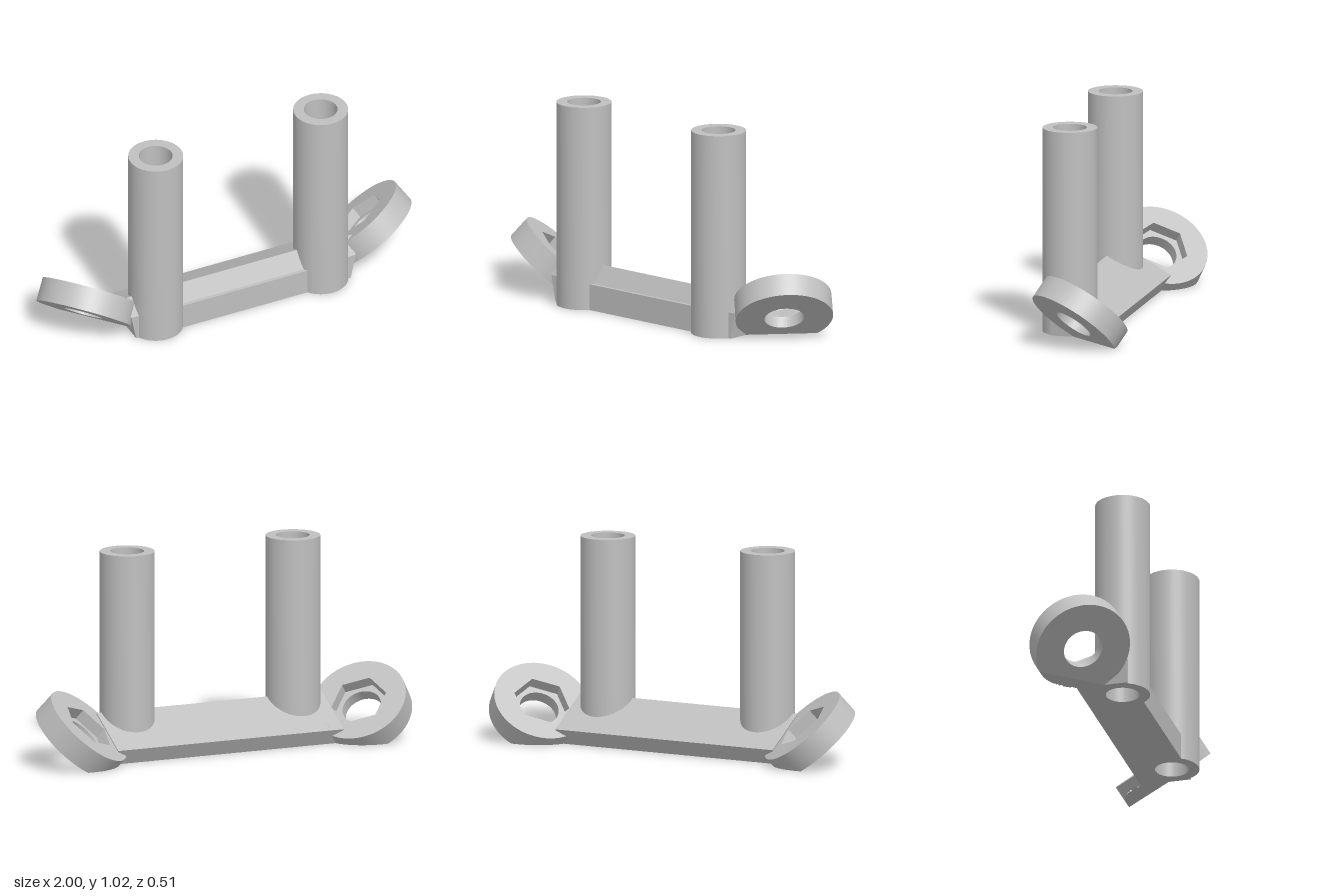
import * as THREE from 'three';
import { toCreasedNormals, mergeGeometries } from 'three/addons/utils/BufferGeometryUtils.js';

const TILT = Math.PI / 6;

function circle(r, PathType = THREE.Path) {
  const p = new PathType();
  p.absarc(0, 0, r, 0, Math.PI * 2, false);
  return p;
}

// Upright disc or tube with one hole, from y to y + height
function drilled(radius, hole, height, y = 0) {
  const shape = circle(radius, THREE.Shape);
  shape.holes.push(hole);
  const geo = new THREE.ExtrudeGeometry(shape, { depth: height, bevelEnabled: false, curveSegments: 36 });
  return geo.rotateX(-Math.PI / 2).translate(0, y, 0);
}

// Remove everything under y = 0 and close the convex cut
function cutAtGround(geo) {
  const pos = geo.attributes.position;
  const out = [], rim = [];
  for (let i = 0; i < pos.count; i += 3) {
    const tri = [0, 1, 2].map(k => new THREE.Vector3().fromBufferAttribute(pos, i + k));
    const poly = [];
    tri.forEach((a, k) => {
      const b = tri[(k + 1) % 3];
      if (a.y >= 0) poly.push(a);
      if ((a.y >= 0) !== (b.y >= 0)) {
        const p = a.clone().lerp(b, a.y / (a.y - b.y));
        p.y = 0;
        poly.push(p);
        rim.push(p);
      }
    });
    for (let k = 1; k + 1 < poly.length; k++) out.push(poly[0], poly[k], poly[k + 1]);
  }
  if (rim.length) {
    const c = rim.reduce((s, p) => s.add(p), new THREE.Vector3()).divideScalar(rim.length);
    const angle = p => Math.atan2(p.z - c.z, p.x - c.x);
    rim.sort((a, b) => angle(a) - angle(b));
    rim.forEach((p, k) => out.push(c, p, rim[(k + 1) % rim.length]));
  }
  return new THREE.BufferGeometry().setFromPoints(out);
}

// Mirror across x and restore the corner order
function mirrored(geo) {
  const m = geo.clone().scale(-1, 1, 1);
  for (const attr of Object.values(m.attributes)) {
    const a = attr.array, n = attr.itemSize;
    for (let i = 0; i < a.length; i += 3 * n) {
      for (let k = 0; k < n; k++) [a[i + n + k], a[i + 2 * n + k]] = [a[i + 2 * n + k], a[i + n + k]];
    }
  }
  return m;
}

// Extrude a (z, y) profile along x from x0 to x1
function barSection(profile, x0, x1) {
  const shape = new THREE.Shape(profile.map(([z, y]) => new THREE.Vector2(-z, y)));
  return new THREE.ExtrudeGeometry(shape, { depth: x1 - x0, bevelEnabled: false })
    .rotateY(Math.PI / 2).translate(x0, 0, 0);
}

export function createModel() {
  const model = new THREE.Group();
  const grey = new THREE.MeshStandardMaterial({ color: 0xbfbfbf });
  grey.name = 'light grey';

  const add = (name, geo) => {
    const mesh = new THREE.Mesh(geo, grey);
    mesh.name = name;
    model.add(mesh);
  };

  // Hollow upright posts
  for (const [name, x] of [['leftPost', 0.45], ['rightPost', -0.45]]) {
    const post = drilled(0.135, circle(0.083), 1.02).translate(x, 0, 0.12);
    add(name, toCreasedNormals(post, 0.6));
  }

  // Sloped crossbar, split so the post bores stay open
  const back = [[-0.12, 0.076], [-0.076, 0]];
  const full = [[0.198, 0], [0.198, 0.13], [0.18, 0.13], [0.13, 0.22], ...back];
  const behindPost = [[0.03, 0], [0.03, 0.162], ...back];
  const end = [[0.18, 0], [0.18, 0.13], [0.13, 0.22], ...back];
  add('crossbar', barSection(full, -0.36, 0.36));

  const barEnd = barSection(end, 0.54, 0.612);
  const p = barEnd.attributes.position;
  for (let i = 0; i < p.count; i++) {
    if (p.getX(i) > 0.6 && p.getY(i) < 0.05) p.setX(i, 0.585);
  }
  barEnd.computeVertexNormals();
  const strip = barSection(behindPost, 0.36, 0.54);
  add('leftCrossbarStrip', strip);
  add('rightCrossbarStrip', mirrored(strip));
  add('leftCrossbarEnd', barEnd);
  add('rightCrossbarEnd', mirrored(barEnd));

  // Tilted mounting ears: round bore below, hexagonal nut pocket above
  const hex = new THREE.Path();
  hex.setFromPoints(Array.from({ length: 6 }, (_, k) => {
    const a = THREE.MathUtils.degToRad(104 + 60 * k);
    return new THREE.Vector2(0.14 * Math.cos(a), 0.14 * Math.sin(a));
  }));
  hex.closePath();
  const blank = mergeGeometries([
    drilled(0.24, circle(0.098), 0.06),
    drilled(0.24, hex, 0.058, 0.06),
  ]);
  blank.rotateZ(-TILT).rotateX(-TILT).translate(-0.792, 0.108, 0.014);
  const ear = toCreasedNormals(cutAtGround(blank), 0.5);
  add('rightEar', ear);
  add('leftEar', mirrored(ear));

  return model;
}
